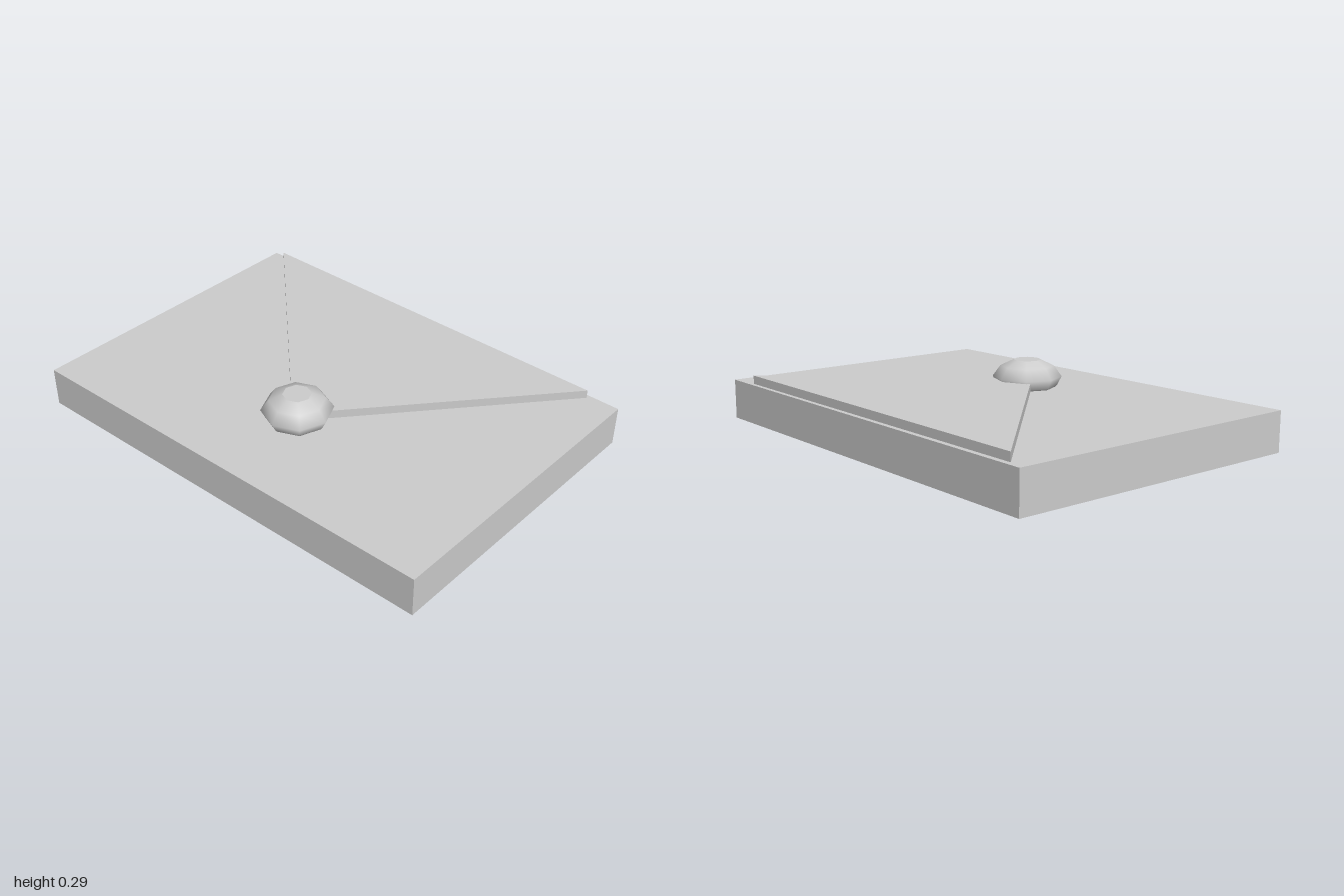
import * as THREE from 'three';

const paper = new THREE.MeshStandardMaterial({ color: 0xcccccc });
paper.name = 'paleGrey';

// Upright prism from an [x, z] outline, standing at height y
function prism(name, outline, y, height) {
  const shape = new THREE.Shape(outline.map(([x, z]) => new THREE.Vector2(x, -z)));
  const geometry = new THREE.ExtrudeGeometry(shape, { depth: height, bevelEnabled: false });
  geometry.rotateX(-Math.PI / 2);
  const mesh = new THREE.Mesh(geometry, paper);
  mesh.name = name;
  mesh.position.y = y;
  return mesh;
}

export function createModel() {
  const model = new THREE.Group();
  model.name = 'envelope';

  // Slightly skewed slab and the triangular flap lying on it
  model.add(prism('body', [[-1, 0.68], [0.945, 0.69], [1, -0.635], [-0.95, -0.693]], 0, 0.175));
  model.add(prism('flap', [[-0.88, -0.668], [0.026, 0.288], [0.86, -0.62]], 0.175, 0.037));

  // Eight-sided domed seal over the flap's tip
  const seal = new THREE.Group();
  seal.name = 'seal';
  seal.position.set(0.025, 0.175, 0.255);
  const profile = [[0.125, 0], [0.131, 0.007], [0.151, 0.046], [0.117, 0.093], [0.06, 0.12]]
    .map(([r, y]) => new THREE.Vector2(r, y));
  const dome = new THREE.Mesh(new THREE.LatheGeometry(profile, 8), paper);
  dome.name = 'sealDome';
  const top = new THREE.Mesh(new THREE.CircleGeometry(0.06, 8).rotateX(-Math.PI / 2), paper);
  top.name = 'sealTop';
  top.position.y = 0.12;
  seal.add(dome, top);
  model.add(seal);

  return model;
}
